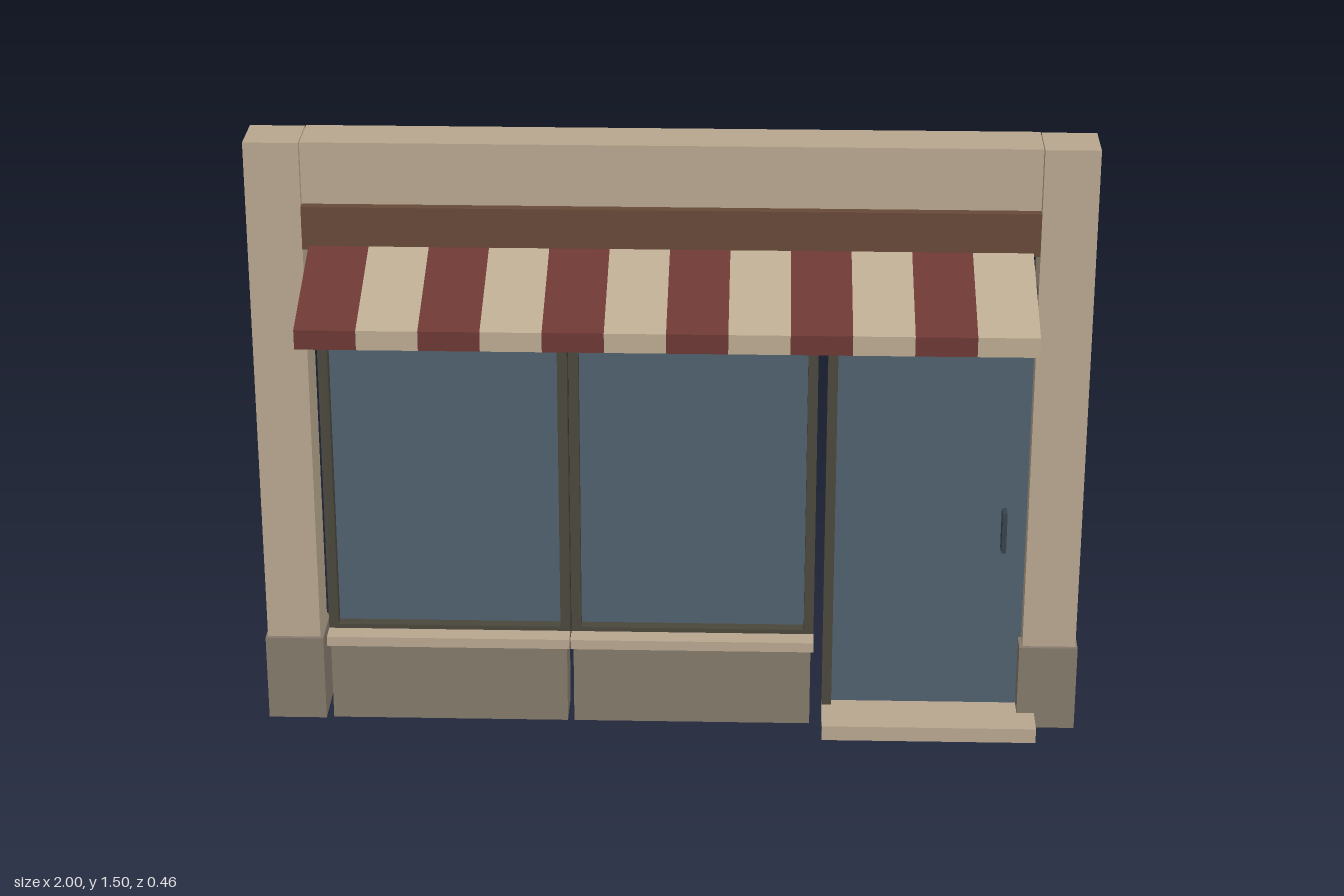
import * as THREE from 'three';

const mat = (name, color, extra = {}) => {
  const m = new THREE.MeshStandardMaterial({ color, ...extra });
  m.name = name;
  return m;
};

export function createModel() {
  const root = new THREE.Group();
  root.name = 'shopfront';

  const stone = mat('pale stone', 0xb8a78f);
  const plinth = mat('grey stone', 0x857a6c);
  const wood = mat('brown wood', 0x664837);
  const frame = mat('dark frame', 0x4a473c);
  const glass = mat('blue glass', 0x4f616d);
  const metal = mat('handle metal', 0x35434c);
  const red = mat('awning red', 0x6c3733, { side: THREE.DoubleSide });
  const cream = mat('awning cream', 0xbcab92, { side: THREE.DoubleSide });

  // Box given by its limits on each axis
  const box = (name, m, [x0, x1], [y0, y1], [z0, z1], parent = root) => {
    const mesh = new THREE.Mesh(new THREE.BoxGeometry(x1 - x0, y1 - y0, z1 - z0), m);
    mesh.position.set((x0 + x1) / 2, (y0 + y1) / 2, (z0 + z1) / 2);
    mesh.name = name;
    parent.add(mesh);
    return mesh;
  };

  // Pillars with wider bases
  for (const s of [-1, 1]) {
    const side = s > 0 ? 'left' : 'right';
    const span = (a, b) => (s > 0 ? [a, b] : [-b, -a]);
    box(side + 'Pillar', stone, span(0.865, 0.995), [0.21, 1.5], [-0.225, -0.095]);
    box(side + 'PillarBase', plinth, span(0.857, 1), [0, 0.22], [-0.228, -0.085]);
  }

  // Lintel and fascia board
  box('lintel', stone, [-0.863, 0.863], [1.25, 1.5], [-0.23, -0.1]);
  box('fascia', wood, [-0.863, 0.863], [1.245, 1.35], [-0.1, -0.075]);

  // Glazed panel: a full pane with frame bars standing in front of it
  const panel = (name, [x0, x1], [y0, y1], bar) => {
    const g = new THREE.Group();
    g.name = name;
    root.add(g);
    const z = [-0.155, -0.115];
    box('pane', glass, [x0 + 0.005, x1 - 0.005], [y0 + 0.008, y1 - 0.012], [-0.175, -0.145], g);
    box('frameSide', frame, [x0, x0 + bar], [y0, y1], z, g);
    box('frameSide', frame, [x1 - bar, x1], [y0, y1], z, g);
    box('frameTop', frame, [x0 + bar, x1 - bar], [y1 - bar, y1], z, g);
    box('frameBottom', frame, [x0 + bar, x1 - bar], [y0, y0 + bar], z, g);
  };

  // Two shop windows, each on a low wall with a sill
  for (const x of [-0.845, -0.245]) {
    panel('window', [x, x + 0.597], [0.222, 1.18], 0.024);
    box('lowWall', plinth, [x + 0.006, x + 0.59], [0, 0.208], [-0.21, -0.09]);
    box('wallTop', plinth, [x + 0.006, x + 0.59], [0.208, 0.222], [-0.21, -0.13]);
    box('sill', stone, [x, x + 0.597], [0.21, 0.235], [-0.13, -0.065]);
  }

  // Door, handle and step
  panel('door', [0.375, 0.9], [0.012, 1.15], 0.024);
  box('doorHandle', metal, [0.804, 0.816], [0.465, 0.57], [-0.145, -0.108]);
  box('doorStep', stone, [0.375, 0.9], [0.002, 0.04], [-0.14, 0]);

  // Striped awning: sloping cloth strips with a hanging valance
  const awning = new THREE.Group();
  awning.name = 'awning';
  root.add(awning);
  const count = 12, left = -0.848, width = 1.695 / count;
  const back = new THREE.Vector2(-0.078, 1.255), front = new THREE.Vector2(0.23, 1.162);
  const length = back.distanceTo(front);
  const tilt = Math.atan2(back.y - front.y, front.x - back.x) - Math.PI / 2;
  for (let i = 0; i < count; i++) {
    const m = i % 2 ? cream : red;
    const x = left + (i + 0.5) * width;
    const strip = new THREE.Mesh(new THREE.PlaneGeometry(width, length), m);
    strip.name = 'awningStripe';
    strip.position.set(x, (back.y + front.y) / 2, (back.x + front.x) / 2);
    strip.rotation.x = tilt;
    const flap = new THREE.Mesh(new THREE.PlaneGeometry(width, 0.047), m);
    flap.name = 'awningValance';
    flap.position.set(x, front.y - 0.0235, front.x);
    awning.add(strip, flap);
  }
  return root;
}
